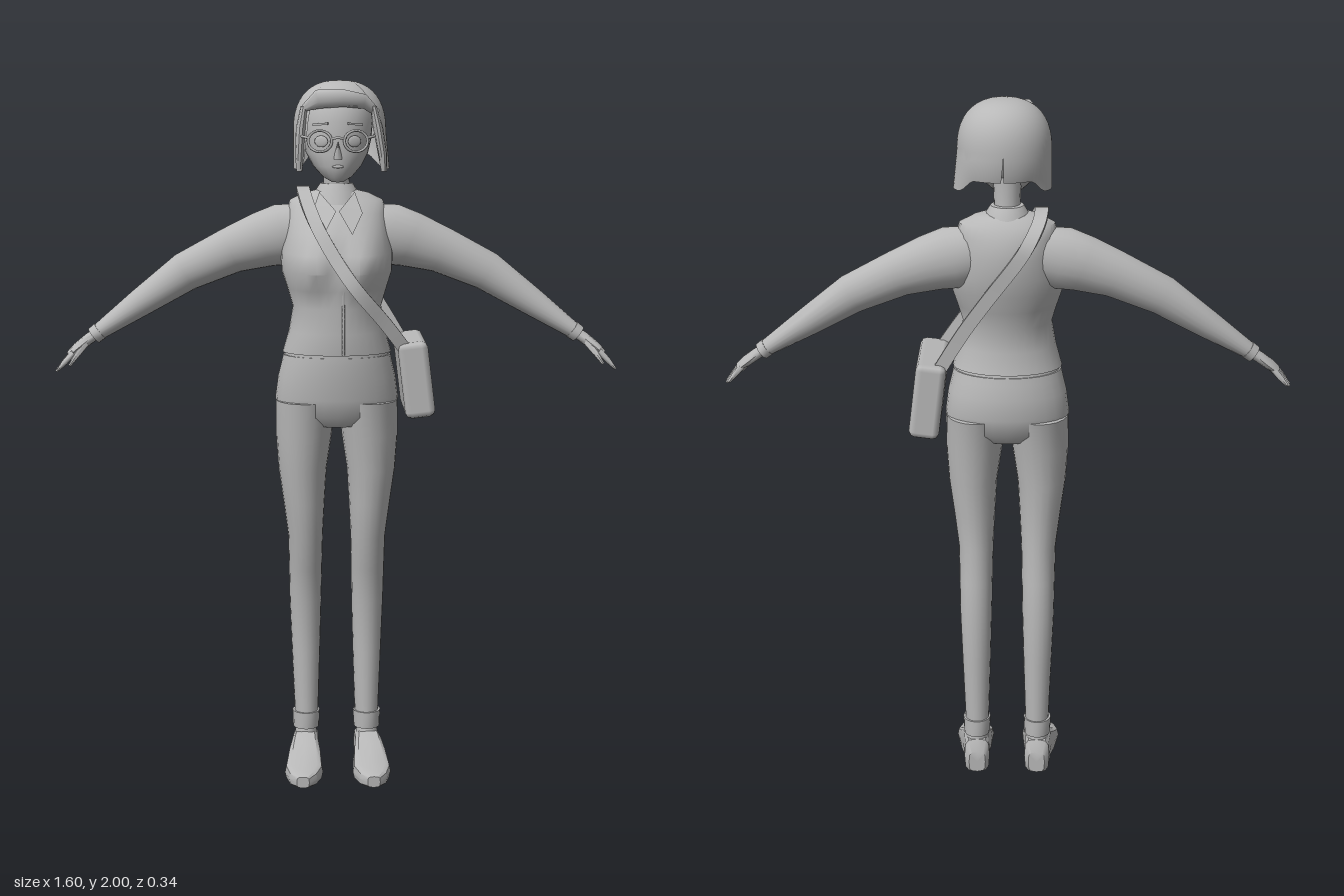
import * as THREE from 'three';
import { toCreasedNormals } from 'three/addons/utils/BufferGeometryUtils.js';
import { RoundedBoxGeometry } from 'three/addons/geometries/RoundedBoxGeometry.js';
import { ParametricGeometry } from 'three/addons/geometries/ParametricGeometry.js';

const V = (x, y, z) => new THREE.Vector3(x, y, z);

// Horizontal ring: height, half width, back z, front z, centre x
const flat = (y, hw, back, front, x = 0) =>
  ({ c: V(x, y, (front + back) / 2), u: V(hw, 0, 0), v: V(0, 0, (front - back) / 2) });

// Ring across a limb that runs along x, sloping by an angle in the xy plane
const limb = (x, y, z, ru, rv, slope = 0) =>
  ({ c: V(x, y, z), u: V(-Math.sin(slope) * ru, Math.cos(slope) * ru, 0), v: V(0, 0, rv) });

// Capped skin over a row of rings; power below 1 makes the section boxier
function loft(rings, sides = 20, { power = 1, phase = 0, rule = null, crease = 0.9 } = {}) {
  const pts = [], index = [], n = rings.length;
  const pw = (t) => Math.sign(t) * Math.abs(t) ** power;
  for (const { c, u, v } of rings) {
    for (let j = 0; j < sides; j++) {
      const a = (j / sides) * Math.PI * 2 + phase;
      const p = c.clone().addScaledVector(u, pw(Math.cos(a))).addScaledVector(v, pw(Math.sin(a)));
      if (rule) rule(p, c);
      pts.push(p);
    }
  }
  pts.push(rings[0].c, rings[n - 1].c);
  for (let j = 0; j < sides; j++) {
    const k = (j + 1) % sides, e = (n - 1) * sides;
    for (let i = 0; i < n - 1; i++) {
      const a = i * sides + j, b = i * sides + k;
      index.push(a, a + sides, b, b, a + sides, b + sides);
    }
    index.push(n * sides, j, k, n * sides + 1, e + k, e + j);
  }
  // Turn the skin outward if its volume comes out negative
  let volume = 0;
  for (let i = 0; i < index.length; i += 3) {
    const [a, b, c] = [0, 1, 2].map((m) => pts[index[i + m]]);
    volume += a.dot(b.clone().cross(c));
  }
  if (volume < 0) index.reverse();
  const g = new THREE.BufferGeometry().setFromPoints(pts);
  g.setIndex(index);
  return toCreasedNormals(g, crease);
}

export function createModel() {
  const model = new THREE.Group();
  const grey = new THREE.MeshStandardMaterial({ color: 0xb8b8b8, side: THREE.DoubleSide });
  grey.name = 'plain grey';
  const add = (name, geo) => {
    const m = new THREE.Mesh(geo, grey);
    m.name = name;
    model.add(m);
    return m;
  };
  const tube = (pts, r, sides = 6) =>
    new THREE.TubeGeometry(new THREE.CatmullRomCurve3(pts), 14, r, sides);

  // Vest, with the bust swelled out of the front
  add('vest', loft([
    flat(1.24, 0.154, -0.118, 0.115), flat(1.30, 0.137, -0.103, 0.12), flat(1.37, 0.125, -0.106, 0.113),
    flat(1.42, 0.14, -0.122, 0.118), flat(1.47, 0.156, -0.138, 0.118), flat(1.52, 0.158, -0.15, 0.112),
    flat(1.58, 0.146, -0.155, 0.09), flat(1.63, 0.14, -0.148, 0.052), flat(1.665, 0.132, -0.13, 0.012),
    flat(1.685, 0.092, -0.11, 0), flat(1.695, 0.05, -0.09, -0.005),
  ], 32, {
    rule: (p, c) => {
      const d = ((Math.abs(p.x) - 0.075) ** 2 + (p.y - 1.49) ** 2) / 0.0032;
      if (p.z > c.z) p.z += 0.045 * Math.exp(-d);
    },
  }));
  add('vestClosure', tube([V(0.015, 1.243, 0.114), V(0.015, 1.3, 0.12), V(0.015, 1.37, 0.113),
    V(0.015, 1.45, 0.12)], 0.004));

  // Trousers
  add('shirtHem', loft([flat(1.215, 0.15, -0.118, 0.108), flat(1.245, 0.146, -0.112, 0.108)], 28));
  add('hips', loft([
    flat(1.03, 0.1, -0.09, 0.065), flat(1.06, 0.172, -0.118, 0.09), flat(1.11, 0.175, -0.13, 0.1),
    flat(1.17, 0.167, -0.13, 0.107), flat(1.21, 0.157, -0.122, 0.11), flat(1.232, 0.152, -0.118, 0.11),
  ], 28));

  for (const s of [1, -1]) {
    const side = s > 0 ? 'left' : 'right';

    // Leg, cuff, ankle and shoe
    add(side + 'Leg', loft([
      flat(1.1, 0.085, -0.125, 0.095, s * 0.089), flat(1.0, 0.08, -0.105, 0.08, s * 0.094),
      flat(0.9, 0.069, -0.096, 0.066, s * 0.098), flat(0.8, 0.059, -0.088, 0.052, s * 0.094),
      flat(0.7, 0.05, -0.088, 0.037, s * 0.09), flat(0.6, 0.048, -0.098, 0.01, s * 0.09),
      flat(0.5, 0.046, -0.107, -0.012, s * 0.09), flat(0.35, 0.041, -0.106, -0.017, s * 0.089),
      flat(0.16, 0.034, -0.1, -0.018, s * 0.088),
    ], 20));
    add(side + 'TrouserCuff', loft([flat(0.118, 0.038, -0.106, -0.014, s * 0.089),
      flat(0.167, 0.04, -0.106, -0.012, s * 0.089)], 16));
    add(side + 'Ankle', loft([flat(0.08, 0.034, -0.098, -0.012, s * 0.09),
      flat(0.13, 0.028, -0.092, -0.025, s * 0.089)], 12));
    const shoe = add(side + 'Shoe', loft([
      limb(-0.112, 0.04, 0, 0.032, 0.024), limb(-0.095, 0.053, 0, 0.053, 0.037),
      limb(-0.015, 0.055, 0, 0.055, 0.04), limb(0.03, 0.043, 0, 0.043, 0.048),
      limb(0.1, 0.026, 0, 0.026, 0.055), limb(0.15, 0.022, 0, 0.022, 0.04),
      limb(0.172, 0.018, 0, 0.016, 0.018),
    ], 12, { power: 0.55, crease: 0.5 }));
    shoe.rotation.y = -Math.PI / 2 + s * 0.05;
    shoe.position.x = s * 0.093;

    // Sleeve and wrist
    const arm = (x, y, z, ru, rv, slope) => limb(s * x, y, z, ru, rv, s * slope);
    add(side + 'Arm', loft([
      arm(0.09, 1.575, -0.06, 0.08, 0.062, -0.2), arm(0.15, 1.565, -0.06, 0.089, 0.069, -0.3),
      arm(0.21, 1.55, -0.062, 0.08, 0.062, -0.38), arm(0.3, 1.52, -0.063, 0.066, 0.053, -0.42),
      arm(0.43, 1.46, -0.06, 0.056, 0.046, -0.52), arm(0.56, 1.372, -0.048, 0.04, 0.038, -0.62),
      arm(0.68, 1.29, -0.03, 0.023, 0.03, -0.66),
    ], 20));
    add(side + 'SleeveCuff', loft([arm(0.672, 1.296, -0.031, 0.026, 0.033, -0.66),
      arm(0.69, 1.282, -0.029, 0.025, 0.032, -0.66)], 14));

    // Hand with four fingers and a thumb
    add(side + 'Palm', loft([
      arm(0.68, 1.29, -0.03, 0.016, 0.022, -0.66), arm(0.705, 1.273, -0.026, 0.016, 0.025, -0.66),
      arm(0.735, 1.25, -0.017, 0.015, 0.036, -0.75), arm(0.757, 1.232, -0.012, 0.011, 0.034, -0.8),
    ], 12));
    for (let i = 0; i < 4; i++) {
      const z = -0.039 + i * 0.019, reach = [0.028, 0.037, 0.039, 0.033][i], fan = (i - 1.5) * 0.004;
      add(side + 'Finger', loft([
        arm(0.745, 1.24, z, 0.009, 0.009, -0.75), arm(0.753 + reach * 0.5, 1.23 - reach * 0.5, z + fan, 0.008, 0.008, -0.85),
        arm(0.756 + reach, 1.228 - reach * 1.1, z + fan * 2, 0.004, 0.005, -0.95),
      ], 8));
    }
    add(side + 'Thumb', loft([
      arm(0.71, 1.267, -0.008, 0.011, 0.01, -0.7), arm(0.735, 1.235, 0.018, 0.009, 0.009, -0.9),
      arm(0.755, 1.205, 0.033, 0.004, 0.005, -0.9),
    ], 8));

    // Shirt collar flap
    const flap = new THREE.BufferGeometry().setFromPoints([
      V(s * 0.004, 1.64, 0.064), V(s * 0.04, 1.578, 0.108), V(s * 0.07, 1.635, 0.056), V(s * 0.05, 1.69, 0.005),
    ]);
    flap.setIndex(s > 0 ? [0, 1, 2, 0, 2, 3] : [0, 2, 1, 0, 3, 2]);
    flap.computeVertexNormals();
    add(side + 'CollarFlap', flap);

    // Eye, brow and glasses
    const eye = add(side + 'Eye', new THREE.SphereGeometry(0.02, 14, 10));
    eye.scale.set(1, 0.8, 0.2);
    eye.position.set(s * 0.046, 1.835, 0.09);
    eye.rotation.y = s * 0.4;
    const brow = add(side + 'Brow', new THREE.BoxGeometry(0.045, 0.006, 0.008));
    brow.position.set(s * 0.048, 1.882, 0.091);
    brow.rotation.set(0, s * 0.45, -s * 0.08);
    const rim = add(side + 'GlassesRim', new THREE.TorusGeometry(0.033, 0.004, 6, 24));
    rim.scale.y = 0.88;
    rim.position.set(s * 0.05, 1.836, 0.104);
    rim.rotation.y = s * 0.2;
    add(side + 'GlassesArm', tube([V(s * 0.08, 1.845, 0.098), V(s * 0.1, 1.848, 0.07), V(s * 0.105, 1.848, -0.02)], 0.004));
  }
  add('glassesBridge', tube([V(-0.018, 1.842, 0.109), V(0, 1.846, 0.113), V(0.018, 1.842, 0.109)], 0.004));

  // Collar, neck and head
  add('collar', loft([flat(1.655, 0.072, -0.125, 0.025), flat(1.69, 0.06, -0.112, 0.008),
    flat(1.712, 0.046, -0.098, -0.002)], 20));
  add('neck', loft([flat(1.62, 0.042, -0.09, 0.0), flat(1.7, 0.036, -0.079, -0.004),
    flat(1.8, 0.04, -0.085, 0.01)], 16));
  add('head', loft([
    flat(1.722, 0.016, 0.04, 0.08), flat(1.735, 0.04, -0.01, 0.092), flat(1.765, 0.068, -0.06, 0.1),
    flat(1.8, 0.087, -0.09, 0.1), flat(1.84, 0.097, -0.115, 0.098), flat(1.89, 0.101, -0.12, 0.097),
    flat(1.94, 0.092, -0.11, 0.08), flat(1.975, 0.06, -0.08, 0.04),
  ], 24));
  const nose = add('nose', new THREE.ConeGeometry(0.013, 0.05, 8));
  nose.position.set(0, 1.812, 0.102);
  nose.rotation.x = 0.3;
  const mouth = add('mouth', new THREE.SphereGeometry(0.016, 12, 8));
  mouth.scale.set(1, 0.28, 0.3);
  mouth.position.set(0, 1.766, 0.099);

  // Bobbed hair: dome cut high over the face, long at the sides, shorter behind
  const step = THREE.MathUtils.smoothstep;
  const hair = (u, t, target) => {
    const a = Math.PI * (1 - 2 * u), off = Math.abs(a);
    const hem = 1.93 - 0.175 * step(off, 0.78, 0.92) + 0.035 * step(off, 2.0, 2.5);
    const y = 2 - (2 - hem) * (1 - Math.cos(t * Math.PI / 2));
    const h = (y - 1.86) / 0.14;
    const r = h > 0 ? Math.max(0, 1 - h ** 2.4) ** (1 / 2.4) : 1 - 0.35 * h * h * step(off, 1.8, 2.6);
    const x = Math.sin(a) * 0.13 * r;
    const flare = Math.max(0, 1.86 - y) * 0.1;
    target.set(0.008 + x + (x > 0 ? flare : 0), y, -0.02 + Math.cos(a) * 0.126 * r);
  };
  add('hair', new ParametricGeometry(hair, 64, 16));
  add('fringe', loft([
    limb(-0.092, 1.925, 0.062, 0.01, 0.008, 0.6), limb(-0.055, 1.95, 0.083, 0.026, 0.014, 0.2),
    limb(0.015, 1.953, 0.092, 0.024, 0.015), limb(0.075, 1.943, 0.07, 0.02, 0.014, -0.2),
    limb(0.112, 1.91, 0.045, 0.01, 0.01, -0.6),
  ], 10));
  // Side locks framing the face
  for (const s of [1, -1]) {
    add('hairLock', loft([flat(1.75, 0.008, 0.04, 0.06, s * 0.118 + 0.012), flat(1.8, 0.013, 0.02, 0.07, s * 0.115 + 0.01),
      flat(1.87, 0.014, 0.015, 0.077, s * 0.107 + 0.006), flat(1.93, 0.01, 0.02, 0.07, s * 0.096 + 0.004)], 10));
  }

  // Shoulder bag, leaning on the hip
  const bag = add('bag', new RoundedBoxGeometry(0.085, 0.215, 0.29, 1, 0.018));
  bag.position.set(0.22, 1.172, -0.015);
  bag.rotation.z = 0.12;

  // Flat strap over the right shoulder, down both sides to the bag
  const path = new THREE.CatmullRomCurve3([
    V(0.19, 1.255, 0.105), V(0.13, 1.335, 0.13), V(0.05, 1.43, 0.158), V(0, 1.5, 0.138), V(-0.05, 1.585, 0.102),
    V(-0.078, 1.645, 0.055), V(-0.092, 1.685, 0), V(-0.095, 1.697, -0.06), V(-0.085, 1.67, -0.128),
    V(-0.045, 1.6, -0.162), V(0.05, 1.47, -0.15), V(0.12, 1.37, -0.138), V(0.19, 1.255, -0.13),
  ]);
  const strapRings = [];
  for (let i = 0; i <= 48; i++) {
    const c = path.getPoint(i / 48);
    const out = V(0, Math.max(0, c.y - 1.6) * 2, c.z + 0.05).normalize();
    const across = path.getTangent(i / 48).cross(out).normalize();
    strapRings.push({ c, u: across.multiplyScalar(0.026), v: out.multiplyScalar(0.009) });
  }
  add('bagStrap', loft(strapRings, 4, { phase: Math.PI / 4 }));

  return model;
}
